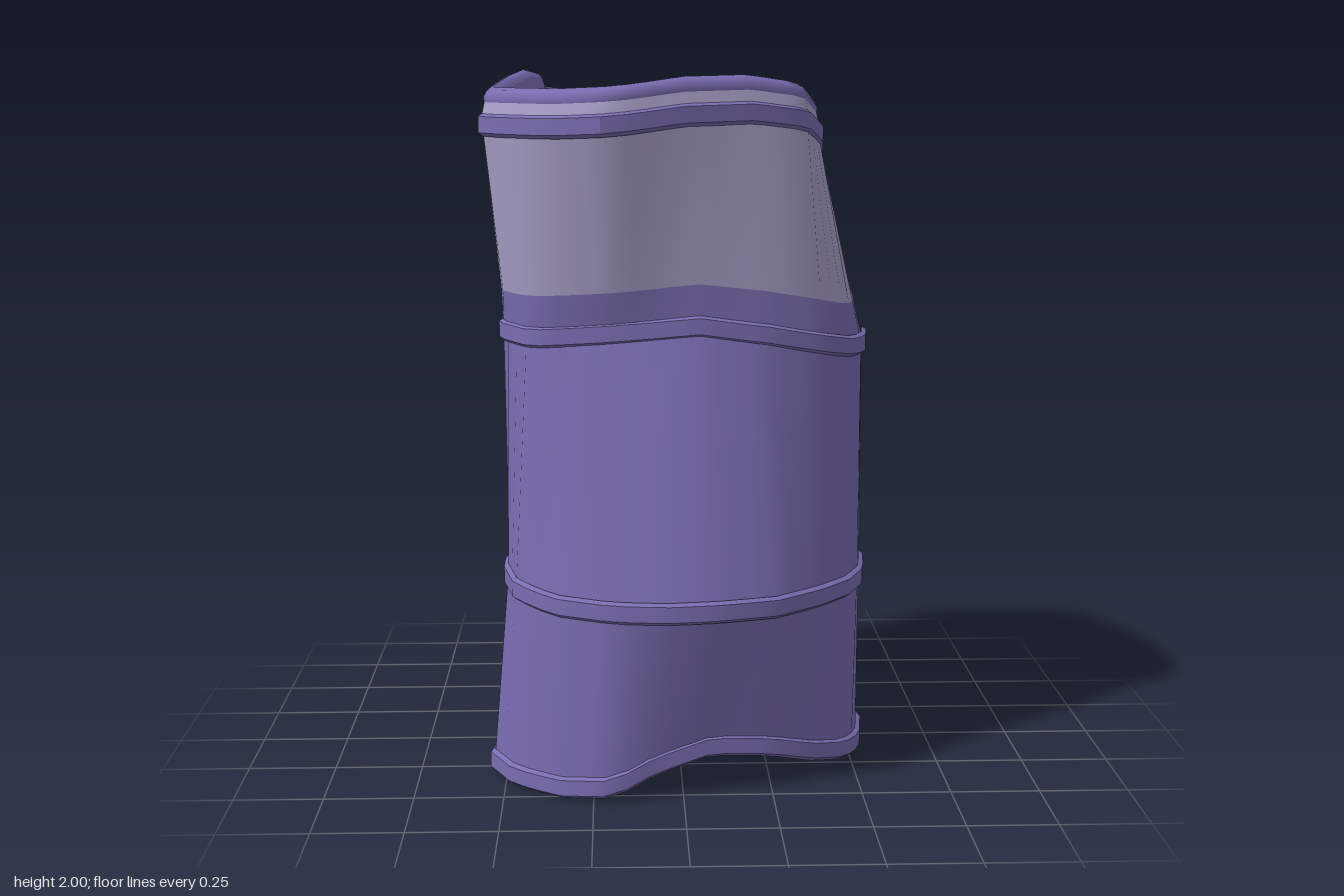
import * as THREE from 'three';
import { toCreasedNormals } from 'three/addons/utils/BufferGeometryUtils.js';

const N = 60, CX = -0.04;
const mat = (name, color) => new THREE.MeshStandardMaterial({ name, color });

// Sample a straight-sided loop of [x, z, y] corners at N even angles around the barrel axis
function ring(points) {
  const p = points.map(([x, z, y]) => ({
    a: (Math.atan2(z, x - CX) + Math.PI * 2) % (Math.PI * 2), r: Math.hypot(x - CX, z), y,
  })).sort((u, v) => u.a - v.a);
  const last = p[p.length - 1], first = p[0];
  p.unshift({ ...last, a: last.a - Math.PI * 2 });
  p.push({ ...first, a: first.a + Math.PI * 2 });
  return Array.from({ length: N }, (_, j) => {
    const a = (j / N) * Math.PI * 2;
    const i = p.findIndex((q) => q.a > a), u = p[i - 1], v = p[i];
    const t = (a - u.a) / (v.a - u.a);
    const r = (u.r * v.r * Math.sin(v.a - u.a)) / (u.r * Math.sin(a - u.a) + v.r * Math.sin(v.a - a));
    return new THREE.Vector3(CX + r * Math.cos(a), u.y + (v.y - u.y) * t, r * Math.sin(a));
  });
}

// Move a ring inward by d and up by dy; lean makes the move larger towards the front
const inset = (r, d, dy = 0, lean = 0) => r.map((v, j) => {
  const move = d + lean * Math.cos((j / N) * Math.PI * 2 - 1.05);
  const k = 1 - move / Math.hypot(v.x - CX, v.z);
  return new THREE.Vector3(CX + (v.x - CX) * k, v.y + dy, v.z * k);
});
const mix = (a, b, t) => a.map((v, j) => v.clone().lerp(b[j], t));
const disc = (x, y, z, r) => Array.from({ length: N }, (_, j) => {
  const a = (j / N) * Math.PI * 2;
  return new THREE.Vector3(x + r * Math.cos(a), y, z + r * Math.sin(a));
});

// Skin a stack of rings, optionally only a run of columns
function skin(name, rings, material, crease = 0.5, from = 0, count = N) {
  const pos = rings.flatMap((r) => r.flatMap((v) => [v.x, v.y, v.z]));
  const index = [];
  for (let i = 0; i < rings.length - 1; i++) {
    for (let k = 0; k < count; k++) {
      const j = (from + k + N) % N, n = (j + 1) % N;
      const a = i * N + j, b = i * N + n, c = a + N, d = b + N;
      index.push(a, c, b, b, c, d);
    }
  }
  const g = new THREE.BufferGeometry();
  g.setAttribute('position', new THREE.Float32BufferAttribute(pos, 3));
  g.setIndex(index);
  const mesh = new THREE.Mesh(toCreasedNormals(g, crease), material);
  mesh.name = name;
  return mesh;
}

export function createModel() {
  const purple = mat('purple paint', 0x7a6db2);
  const pale = mat('pale lavender paint', 0xa8a0c8);
  const model = new THREE.Group();
  model.name = 'dentedBarrel';

  // Undented rear arc shared by the lower hoops
  const rear = (y) => [
    [-0.17, -0.58, y], [-0.05, -0.605, y], [0.1, -0.585, y], [0.26, -0.515, y],
    [0.39, -0.41, y], [0.48, -0.3, y], [0.535, -0.17, y], [0.555, 0, y],
  ];
  const base = ring([...rear(0.035),
    [0.535, 0.15, 0.035], [0.48, 0.27, 0.05], [0.38, 0.38, 0.085], [0.25, 0.45, 0.125], [0.08, 0.49, 0.142],
    [-0.08, 0.53, 0.1], [-0.2, 0.575, 0.05], [-0.35, 0.52, 0.035], [-0.48, 0.42, 0.035], [-0.55, 0.29, 0.04],
    [-0.5, 0.12, 0.055], [-0.43, -0.06, 0.06], [-0.28, -0.42, 0.045]]);
  const lower = ring([...rear(0.545),
    [0.535, 0.17, 0.545], [0.48, 0.3, 0.545], [0.39, 0.41, 0.545], [0.26, 0.52, 0.545], [0.1, 0.585, 0.55],
    [-0.05, 0.605, 0.55], [-0.2, 0.585, 0.55], [-0.36, 0.52, 0.555], [-0.47, 0.405, 0.57], [-0.51, 0.24, 0.585],
    [-0.48, 0.1, 0.605], [-0.43, -0.06, 0.595], [-0.28, -0.42, 0.565]]);
  const upper = ring([...rear(1.225), [0.535, 0.14, 1.225],
    [0.5, 0.22, 1.225], [0.42, 0.32, 1.245], [0.25, 0.39, 1.28], [0.05, 0.425, 1.31], [-0.2, 0.425, 1.29],
    [-0.42, 0.385, 1.275], [-0.515, 0.23, 1.28], [-0.46, 0, 1.275], [-0.4, -0.28, 1.245], [-0.34, -0.5, 1.225]]);
  const top = ring([
    [-0.555, 0.3, 1.85], [-0.49, 0.41, 1.85], [-0.36, 0.505, 1.848], [-0.2, 0.56, 1.855], [0, 0.48, 1.88],
    [0.2, 0.39, 1.885], [0.35, 0.31, 1.865], [0.405, 0.15, 1.82], [0.42, 0, 1.79], [0.405, -0.1, 1.785],
    [0.35, -0.28, 1.785], [0.23, -0.47, 1.8], [0.13, -0.515, 1.81], [-0.2, -0.525, 1.82],
    [-0.34, -0.5, 1.84], [-0.445, -0.4, 1.85], [-0.46, -0.1, 1.89], [-0.485, 0.04, 1.9], [-0.525, 0.18, 1.88]]);

  // Raised hoops
  Object.entries({ baseHoop: base, lowerHoop: lower, upperHoop: upper, topHoop: top }).forEach(([name, r]) =>
    model.add(skin(name, [[0.014, -0.032], [0, -0.022], [0, 0.022], [0.014, 0.03]]
      .map(([d, dy]) => inset(r, d, dy)), purple)));

  // Wall, with a pale painted upper section
  const [w0, w1, w2, w3] = [base, lower, upper, top].map((r) => inset(r, 0.013));
  const paintLine = mix(w2, w3, 0.2);
  model.add(skin('lowerWall', [w0, w1], purple, 1));
  model.add(skin('middleWall', [w1, w2], purple, 1));
  model.add(skin('upperWallEdge', [w2, paintLine], purple, 1));
  model.add(skin('paleUpperWall', [paintLine, w3], pale, 1));

  // Underside
  const foot = inset(base, 0.014, -0.032);
  model.add(skin('underside', [disc(-0.04, 0.01, -0.05, 0.001),
    mix(foot, disc(-0.04, 0.01, -0.05, 0.1), 0.5), foot], purple));

  // Rolled rim with a pale outer neck and partly pale inner slope
  const rim = (profile) => profile.map(([d, dy]) => inset(top, d, dy));
  model.add(skin('rimNeck', rim([[0.012, 0.026], [0.02, 0.06]]), pale));
  model.add(skin('rolledRim', rim([[0.02, 0.06], [0.018, 0.075], [0.028, 0.092], [0.046, 0.1],
    [0.064, 0.094], [0.074, 0.08]]), purple, 0.9));
  const slope = [inset(top, 0.074, 0.08), inset(top, 0.101, 0.035, 0.022)];
  model.add(skin('paleInnerSlope', slope, pale, 0.5, -8, 34));
  model.add(skin('innerSlope', slope, purple, 0.5, 26, 26));

  // Sunken lid
  model.add(skin('lid', [slope[1], mix(slope[1], disc(-0.07, 1.815, -0.1, 0.12), 0.65),
    disc(-0.05, 1.815, -0.2, 0.002)], purple));

  // Filler cap with a square stud
  const cap = new THREE.Group();
  cap.name = 'fillerCap';
  cap.position.set(-0.05, 1.812, -0.2);
  const body = new THREE.Mesh(new THREE.CylinderGeometry(0.068, 0.078, 0.045, 16), pale);
  body.name = 'capBody';
  body.position.y = 0.0225;
  body.scale.z = 1.12;
  cap.add(body);
  [[0.078, 0.048], [0.045, 0.053]].forEach(([s, y], i) => {
    const stud = new THREE.Mesh(new THREE.BoxGeometry(s, 0.008, s), pale);
    stud.name = i ? 'studTop' : 'studBase';
    stud.position.set(0.008, y, 0);
    stud.rotation.y = 0.2;
    cap.add(stud);
  });
  model.add(cap);
  return model;
}
